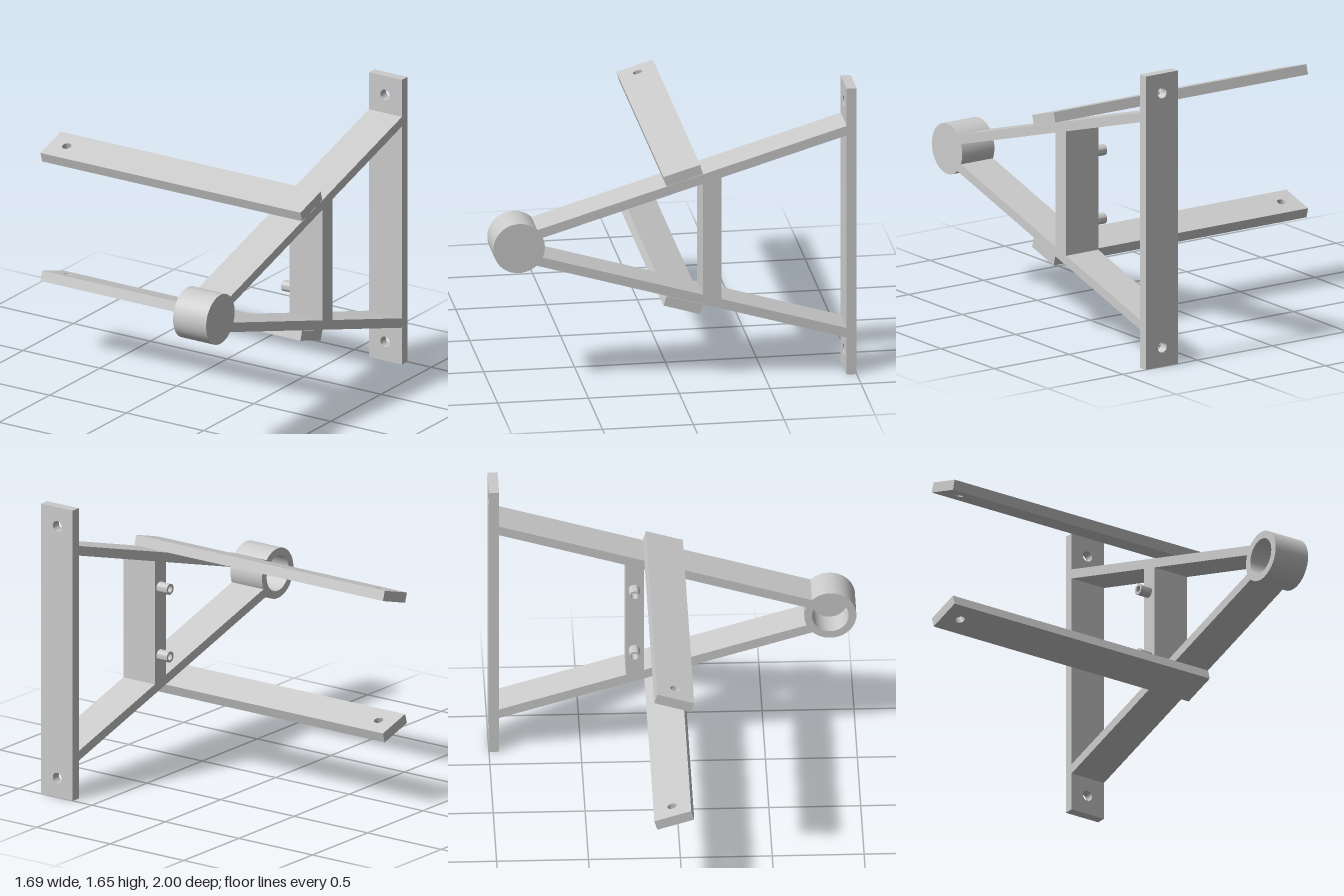
import * as THREE from 'three';
import { toCreasedNormals } from 'three/addons/utils/BufferGeometryUtils.js';

const X0 = 0.63, X1 = 0.845; // side faces of the frame
const MID = 0.8275;          // height of the mirror plane
const TILT = Math.atan(0.3); // slope of the braces

export function createModel() {
  const model = new THREE.Group();
  const material = new THREE.MeshStandardMaterial({ color: 0xcccccc });

  const add = (name, geometry) => {
    const mesh = new THREE.Mesh(toCreasedNormals(geometry, 0.6), material);
    mesh.name = name;
    model.add(mesh);
    return mesh;
  };

  const extrude = (points, depth, holes = []) => {
    const shape = new THREE.Shape(points.map(([x, y]) => new THREE.Vector2(x, y)));
    for (const [x, y, r] of holes) {
      shape.holes.push(new THREE.Path().absarc(x, y, r, 0, Math.PI * 2, true));
    }
    return new THREE.ExtrudeGeometry(shape, { depth, bevelEnabled: false, curveSegments: 24 });
  };

  // Side profile given as [z, y], extruded across the frame width
  const sideProfile = (points) =>
    extrude(points.map(([z, y]) => [-z, y]), X1 - X0).rotateY(Math.PI / 2).translate(X0, 0, 0);

  // Turned part given as [radius, x], turned about the x axis
  const turned = (points, segments) =>
    new THREE.LatheGeometry(points.map(([r, x]) => new THREE.Vector2(r, x)), segments)
      .rotateZ(-Math.PI / 2);

  // Wall plate with two screw holes
  add('wallPlate', extrude(
    [[X0, 0], [X1, 0], [X1, 1.655], [X0, 1.655]], 0.055,
    [[0.735, 0.11, 0.03], [0.735, 1.545, 0.03]],
  ).translate(0, 0, -1));

  // Vertical strut between the braces
  add('strut', sideProfile([
    [-0.155, MID - 0.33], [-0.255, MID - 0.36], [-0.255, MID + 0.36], [-0.155, MID + 0.33],
  ]));

  // Round boss at the tip with a blind pocket on its inner side
  add('boss', turned([
    [0, 0.78], [0.1, 0.78], [0.1, X0], [0.142, X0], [0.142, X1], [0, X1],
  ], 48)).position.set(0, 0.83, 0.858);

  for (const s of [1, -1]) {
    const side = s > 0 ? 'upper' : 'lower';
    const y = (v) => MID + s * (v - MID);

    // Sloping brace from the plate to the boss
    add(side + 'Brace', sideProfile([
      [-0.945, y(1.385)], [0.74, y(0.881)], [0.77, y(0.927)], [-0.945, y(1.44)],
    ]));

    // Long cross arm lying on the brace, with a hole near its free end
    const arm = add(side + 'Arm', extrude(
      [[-X1, -0.105], [X1, -0.105], [X1, 0.105], [-X1, 0.105]], 0.057,
      [[-0.74, 0, 0.026]],
    ));
    arm.rotation.x = s * (TILT - Math.PI / 2);
    arm.position.set(0, y(1.175), -0.054);

    // Hollow peg on the inner side of the strut
    add(side + 'Peg', turned([
      [0, 0.625], [0.018, 0.625], [0.018, 0.56], [0.031, 0.56], [0.031, 0.64],
    ], 24)).position.set(0, MID + s * 0.193, -0.21);
  }

  return model;
}
